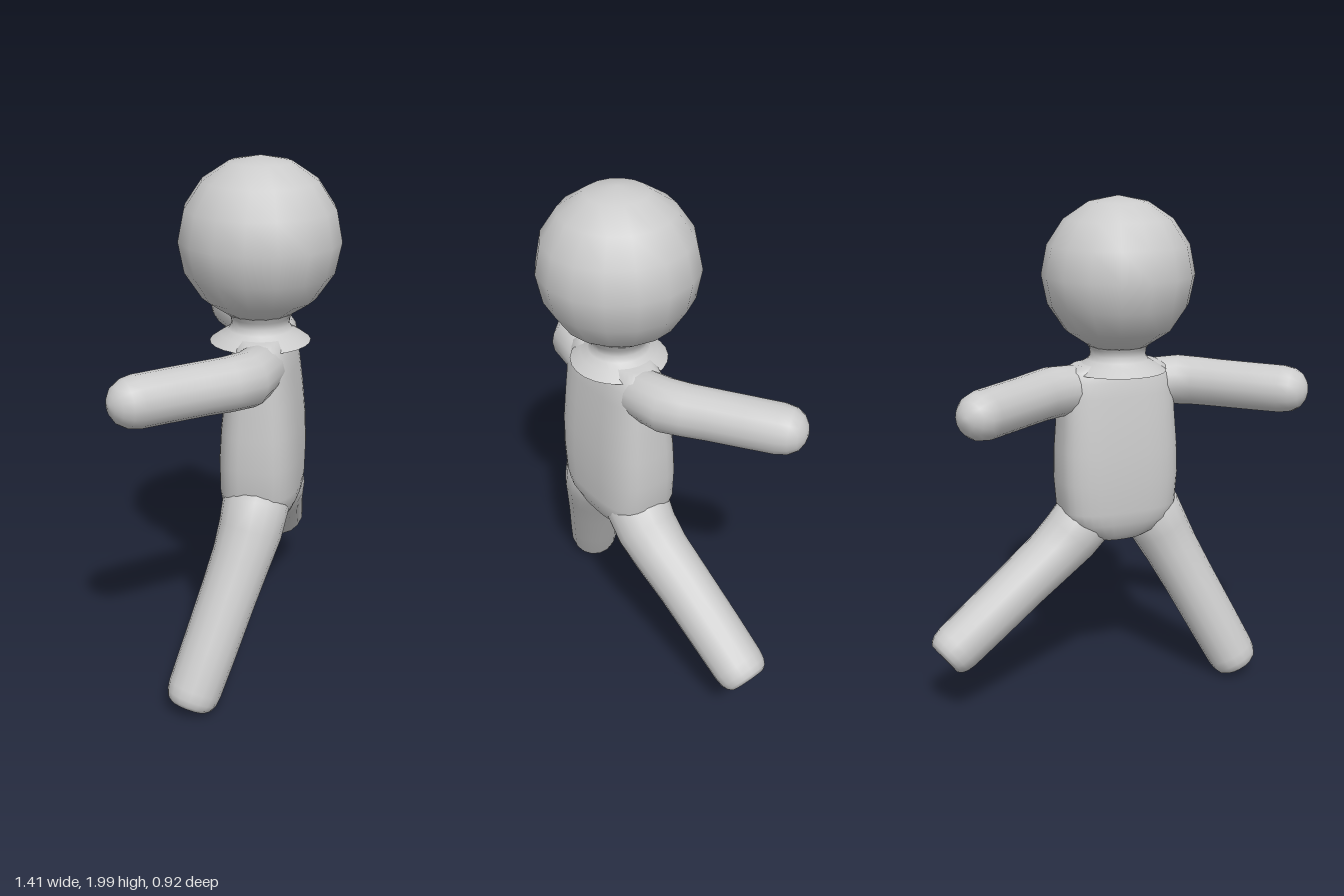
import * as THREE from 'three';

const material = new THREE.MeshStandardMaterial({ color: 0xcccccc });
const V = (x, y, z) => new THREE.Vector3(x, y, z);
const YAW = 0.58; // the whole body is turned towards its left
const across = V(Math.cos(YAW), 0, -Math.sin(YAW));
const forward = V(Math.sin(YAW), 0, Math.cos(YAW));

// Smooth closed skin over rings of points, with a centre point closing each end
function loft(name, rings) {
  const n = rings[0].length, last = rings.length - 1;
  const points = rings.flat();
  const centre = (ring) => ring.reduce((a, p) => a.add(p), V(0, 0, 0)).divideScalar(n);
  const start = points.push(centre(rings[0])) - 1;
  const end = points.push(centre(rings[last])) - 1;
  const index = [];
  for (let j = 0; j < n; j++) {
    const k = (j + 1) % n;
    for (let i = 0; i < last; i++) {
      const a = i * n + j, b = i * n + k;
      index.push(a, b, b + n, a, b + n, a + n);
    }
    index.push(start, k, j, end, last * n + j, last * n + k);
  }
  const geometry = new THREE.BufferGeometry().setFromPoints(points);
  geometry.setIndex(index);
  geometry.computeVertexNormals();
  const mesh = new THREE.Mesh(geometry, material);
  mesh.name = name;
  return mesh;
}

// Round limb swept along a curve; stations are [fraction of length, radius]
function limb(name, path, stations, sides = 16) {
  const curve = new THREE.CatmullRomCurve3(path);
  const rings = stations.map(([t, r]) => {
    const p = curve.getPointAt(t), d = curve.getTangentAt(t);
    const side = V(0.3, 0, 1).cross(d).normalize();
    const up = d.clone().cross(side);
    return Array.from({ length: sides }, (_, j) => {
      const a = (j / sides) * Math.PI * 2;
      return p.clone().addScaledVector(side, r * Math.cos(a)).addScaledVector(up, r * Math.sin(a));
    });
  });
  return loft(name, rings);
}

// Rounded-rectangle torso; sections are [height, half width, half depth]
function torso() {
  const sections = [
    [0.64, 0.05, 0.06], [0.65, 0.1, 0.09], [0.68, 0.165, 0.12], [0.73, 0.22, 0.142], [0.78, 0.24, 0.148],
    [0.9, 0.25, 0.15], [1.02, 0.248, 0.144], [1.14, 0.24, 0.132], [1.24, 0.236, 0.118],
    [1.3, 0.23, 0.108], [1.34, 0.21, 0.092], [1.362, 0.17, 0.075],
  ];
  const power = (v) => Math.sign(v) * Math.pow(Math.abs(v), 2 / 3);
  const rings = sections.map(([y, w, d]) => Array.from({ length: 32 }, (_, j) => {
    const a = (j / 32) * Math.PI * 2;
    return V(0.039, y, 0.183)
      .addScaledVector(across, w * power(Math.cos(a)))
      .addScaledVector(forward, -d * power(Math.sin(a)));
  }));
  return loft('torso', rings);
}

export function createModel() {
  const group = new THREE.Group();
  group.name = 'figure';

  // Head: low-segment ball with smooth shading
  const head = new THREE.Mesh(new THREE.SphereGeometry(0.296, 16, 8), material);
  head.name = 'head';
  head.position.set(0.024, 1.704, 0.163);
  head.rotation.y = Math.PI / 16;
  group.add(head);

  // Neck: waisted, flaring into head and shoulders
  const profile = [[0.19, 1.33], [0.15, 1.358], [0.12, 1.375], [0.108, 1.395], [0.112, 1.42], [0.14, 1.46]];
  const neck = new THREE.Mesh(
    new THREE.LatheGeometry(profile.map(([x, y]) => new THREE.Vector2(x, y)), 24), material);
  neck.name = 'neck';
  neck.position.set(0.027, 0, 0.17);
  neck.scale.z = 0.95;
  group.add(neck);

  group.add(torso());

  // Arms: level, swept backwards, with rounded ends
  const armStations = [[0, 0.07], [0.1, 0.095], [0.25, 0.1], [0.37, 0.097], [0.5, 0.095], [0.7, 0.094],
    [0.86, 0.093], [0.92, 0.085], [0.965, 0.065], [0.99, 0.038], [1, 0.012]];
  group.add(limb('rightArm',
    [V(-0.04, 1.266, 0.235), V(-0.17, 1.266, 0.318), V(-0.44, 1.266, 0.257), V(-0.71, 1.266, 0.188)], armStations));
  group.add(limb('leftArm',
    [V(0.13, 1.266, 0.125), V(0.24, 1.266, 0.045), V(0.355, 1.266, -0.2), V(0.468, 1.266, -0.462)], armStations));

  // Legs: spread wide, with blunt bevelled ends
  const legStations = [[0, 0.09], [0.08, 0.125], [0.2, 0.12], [0.32, 0.112], [0.5, 0.107], [0.75, 0.104],
    [0.92, 0.101], [0.96, 0.096], [0.985, 0.086], [1, 0.07]];
  group.add(limb('rightLeg',
    [V(-0.06, 0.8, 0.255), V(-0.125, 0.66, 0.28), V(-0.29, 0.36, 0.292), V(-0.468, 0.04, 0.298)], legStations));
  group.add(limb('leftLeg',
    [V(0.115, 0.79, 0.14), V(0.21, 0.66, 0.085), V(0.42, 0.46, -0.09), V(0.642, 0.252, -0.272)], legStations));

  return group;
}
